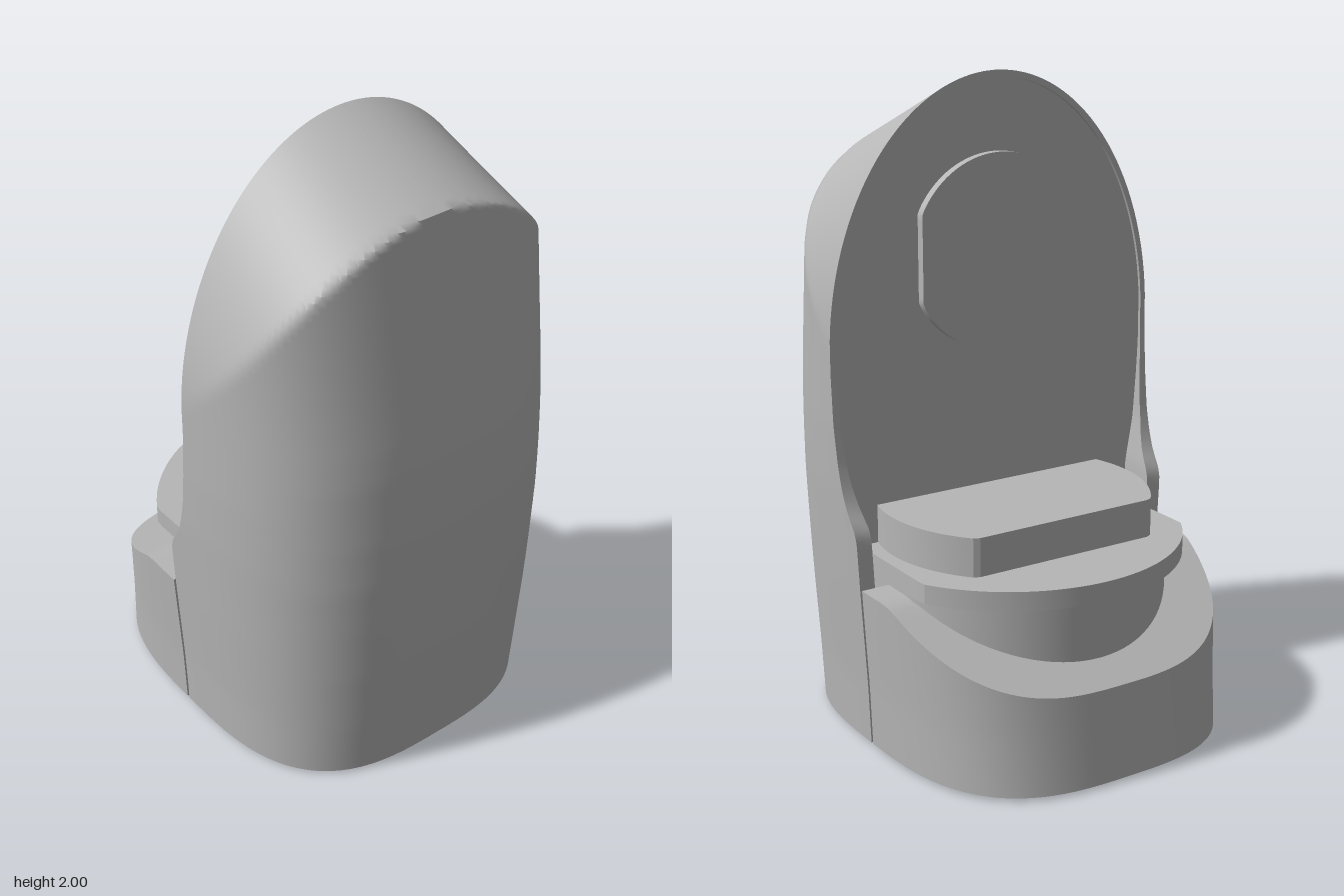
import * as THREE from 'three';
import { toCreasedNormals } from 'three/addons/utils/BufferGeometryUtils.js';

// linear lookup in a short [key, value] table
function lookup(table, k) {
  for (let i = 1; i < table.length; i++) {
    const [k0, v0] = table[i - 1], [k1, v1] = table[i];
    if (k <= k1) return v0 + (v1 - v0) * Math.max(0, (k - k0) / (k1 - k0));
  }
  return table[table.length - 1][1];
}

const HALF_WIDTH = [[0, 0.53], [0.2, 0.537], [0.5, 0.555], [0.8, 0.57], [1, 0.575], [2, 0.575]];
const BACK = [[0, 0.588], [0.2, 0.603], [0.4, 0.613], [0.6, 0.618], [0.75, 0.619], [0.9, 0.613],
  [1.1, 0.598], [1.2, 0.585], [1.83, 0.485], [2, 0.46]];
const FRONT_EDGE = [[0, -0.02], [0.66, -0.018], [0.7, -0.005], [0.74, 0.025], [0.8, 0.05],
  [0.88, 0.07], [1, 0.086], [1.15, 0.095]];
const RIM = [[0.7, 0.05], [0.85, 0.03], [1.1, 0.018]];

// surface through rows of points
function grid(rows, crease) {
  const pos = [], index = [], w = rows[0].length;
  rows.forEach(r => r.forEach(p => pos.push(...p)));
  for (let j = 0; j < rows.length - 1; j++)
    for (let i = 0; i < w - 1; i++) {
      const a = j * w + i, c = a + w;
      index.push(a, a + 1, c, a + 1, c + 1, c);
    }
  const g = new THREE.BufferGeometry();
  g.setAttribute('position', new THREE.Float32BufferAttribute(pos, 3));
  g.setIndex(index);
  return toCreasedNormals(g, crease);
}

// points of a circle cut flat at +-cutX and +-cutY
function cutCircle(r, cutX, cutY) {
  const pts = [];
  for (let i = 0; i < 96; i++) {
    const a = i / 96 * Math.PI * 2;
    pts.push(new THREE.Vector2(THREE.MathUtils.clamp(r * Math.cos(a), -cutX, cutX),
      THREE.MathUtils.clamp(r * Math.sin(a), -cutY, cutY)));
  }
  return pts;
}

function slab(points, depth, hole) {
  const shape = new THREE.Shape(points);
  if (hole) shape.holes.push(new THREE.Path(hole));
  return toCreasedNormals(new THREE.ExtrudeGeometry(shape, { depth, bevelEnabled: false }), 0.4);
}

// tall hood: plan sections cut by a sloping arch
function hoodGeometry() {
  const inside = (x, y, z) => {
    const body = Math.abs(x / lookup(BACK, y)) ** 3 + Math.abs(z / lookup(HALF_WIDTH, y)) ** 3;
    if (y <= 1.2) return body <= 1;
    const rise = 0.8 - 0.44 * (x - 0.095);
    return Math.max(body, (z / 0.575) ** 2 + ((y - 1.2) / rise) ** 2) <= 1;
  };
  const heights = [];
  for (let j = 0; j < 40; j++) heights.push(0.01 + 1.19 * j / 40);
  for (let j = 0; j <= 60; j++) heights.push(2 - 0.8 * (1 - j / 60) ** 2);
  const rows = heights.map(y => {
    const x0 = lookup(FRONT_EDGE, y), ring = [], n = 96;
    for (let i = 0; i <= n; i++) {
      const a = Math.PI * (0.5 - i / n), cx = Math.cos(a), cz = Math.sin(a);
      let lo = 0, hi = 1;
      for (let k = 0; k < 26; k++) {
        const m = (lo + hi) / 2;
        if (inside(x0 + m * cx, y, m * cz)) lo = m; else hi = m;
      }
      ring.push([x0 + lo * cx, y, lo * cz]);
    }
    // rim and recessed panel
    const zi = y > 1.2 ? 0.557 * Math.sqrt(Math.max(0, 1 - ((y - 1.2) / 0.78) ** 2))
      : ring[0][2] - lookup(RIM, y);
    ring.push([x0, y, -zi], [0.105, y, -zi], [0.105, y, zi], [x0, y, zi], ring[0]);
    return ring;
  });
  return grid(rows, 0.9);
}

// low base: tapered half oval with a sloping top
function baseGeometries() {
  const n = 80, m = 12, end = -0.03;
  const topAt = x => lookup([[-0.59, 0.29], [-0.23, 0.483], [-0.19, 0.503], [-0.15, 0.514], [end, 0.515]], x);
  const point = (a, y) => [
    Math.min(end, -(0.625 - 0.12 * y) * Math.abs(Math.cos(a)) ** (2 / 3)), y,
    lookup(HALF_WIDTH, y) * Math.sign(Math.sin(a)) * Math.abs(Math.sin(a)) ** (2 / 3)];
  const angles = [], tops = [];
  for (let i = 0; i <= n; i++) {
    const a = Math.PI * (i / n - 0.5);
    let y = 0.3;
    for (let k = 0; k < 12; k++) y = topAt(point(a, y)[0]);
    angles.push(a);
    tops.push(y);
  }
  const wall = [], lid = [];
  for (let j = 0; j <= m; j++)
    wall.push(angles.map((a, i) => point(a, 0.01 + (tops[i] - 0.01) * j / m)));
  for (let i = 0; i <= n / 2; i++) lid.push([wall[m][n - i], wall[m][i]]);
  return { baseWall: grid(wall, 0.7), baseSlopingTop: grid(lid, 0.4),
    baseEnd: grid(wall.map(r => [r[n], r[0]]), 0.4) };
}

export function createModel() {
  const model = new THREE.Group();
  const grey = new THREE.MeshStandardMaterial({ color: 0xb6b6b6 });
  grey.name = 'plain grey';
  const add = (name, geometry) => {
    const mesh = new THREE.Mesh(geometry, grey);
    mesh.name = name;
    model.add(mesh);
    return mesh;
  };
  const flat = (name, points, y0, y1, x = 0, z = 0, hole) =>
    add(name, slab(points, y1 - y0, hole).rotateX(-Math.PI / 2).translate(x, y0, z));

  add('hood', hoodGeometry());
  for (const [name, g] of Object.entries(baseGeometries())) add(name, g);

  // stacked platform in the base
  flat('pedestal', cutCircle(0.475, 0.475, 0.45), 0.05, 0.54, -0.018, -0.015);
  flat('platformDisc', cutCircle(0.54, 0.54, 0.47), 0.54, 0.6, 0, -0.015);
  flat('platformBlock', cutCircle(0.427, 0.29, 0.427), 0.6, 0.72, -0.02, -0.015);

  // flat-sided pad on the upright panel
  add('panelPad', slab(cutCircle(0.3, 0.267, 0.3), 0.03)
    .rotateY(-Math.PI / 2).translate(0.107, 1.46, 0));

  // underside with round recess and foot
  const outline = [];
  for (let i = 0; i < 96; i++) {
    const a = i / 96 * Math.PI * 2, c = Math.cos(a), s = Math.sin(a);
    outline.push(new THREE.Vector2((c < 0 ? 0.612 : 0.58) * Math.sign(c) * Math.abs(c) ** (2 / 3),
      0.522 * Math.sign(s) * Math.abs(s) ** (2 / 3)));
  }
  const recess = cutCircle(0.43, 0.43, 0.43).map(p => new THREE.Vector2(p.x - 0.025, p.y));
  flat('undersidePlate', outline, 0.01, 0.05, 0, 0, recess);
  flat('recessFloor', cutCircle(0.45, 0.45, 0.45), 0.05, 0.06, -0.025, 0);
  flat('foot', cutCircle(0.345, 0.345, 0.262), 0, 0.05, -0.025, 0);
  return model;
}
